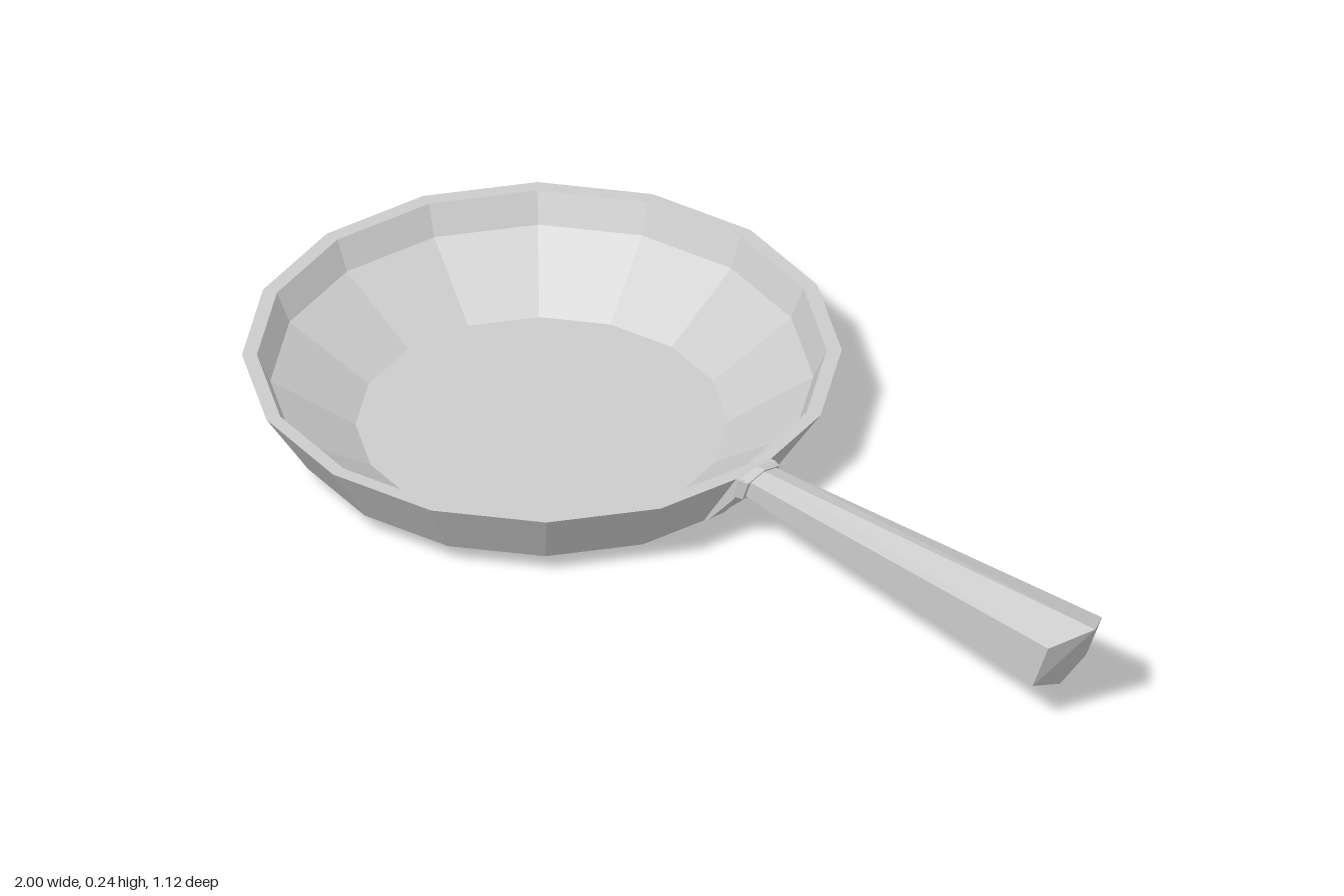
import * as THREE from 'three';

const material = new THREE.MeshStandardMaterial({ color: 0xcccccc, flatShading: true });

// Six-sided ring: top, upper side, lower side and bottom points as [x, y], plus half width
function hexRing([top, upper, lower, bottom], w) {
  return [[...top, 0], [...upper, w], [...lower, w], [...bottom, 0], [...lower, -w], [...upper, -w]];
}

// Skin a run of rings along +x and close both ends with a centre crease
function loft(rings) {
  const pos = [];
  const quad = (a, b, c, d) => pos.push(...a, ...b, ...c, ...a, ...c, ...d);
  for (let k = 0; k < rings.length - 1; k++) {
    const a = rings[k], b = rings[k + 1];
    for (let i = 0; i < 6; i++) {
      const j = (i + 1) % 6;
      quad(a[i], a[j], b[j], b[i]);
    }
  }
  const s = rings[0], e = rings[rings.length - 1];
  quad(e[0], e[1], e[2], e[3]);
  quad(e[0], e[3], e[4], e[5]);
  quad(s[3], s[2], s[1], s[0]);
  quad(s[5], s[4], s[3], s[0]);
  const geometry = new THREE.BufferGeometry();
  geometry.setAttribute('position', new THREE.Float32BufferAttribute(pos, 3));
  geometry.computeVertexNormals();
  return geometry;
}

export function createModel() {
  const group = new THREE.Group();
  const add = (name, geometry) => {
    const mesh = new THREE.Mesh(geometry, material);
    mesh.name = name;
    group.add(mesh);
    return mesh;
  };

  // Pan body: outer wall, flat rim, inner wall and cooking floor
  const profile = [
    [0, 0], [0.352, 0], [0.475, 0.045], [0.56, 0.18],
    [0.532, 0.18], [0.507, 0.12], [0.348, 0.02], [0, 0.02],
  ].map(([r, y]) => new THREE.Vector2(r, y));
  add('panBody', new THREE.LatheGeometry(profile, 16)).position.x = -0.44;

  // Bracket hugging the outer wall below the handle
  const strap = new THREE.Shape([
    [0.02, 0.048], [0.036, 0.05], [0.105, 0.132], [0.126, 0.182], [0.1, 0.18],
  ].map(([x, y]) => new THREE.Vector2(x, y)));
  const strapGeometry = new THREE.ExtrudeGeometry(strap, { depth: 0.092, bevelEnabled: false });
  strapGeometry.translate(0, 0, -0.046);
  add('handleBracket', strapGeometry);

  // Slanted collar between bracket and handle
  const collar = [[0.12, 0.191], [0.118, 0.18], [0.103, 0.138], [0.1, 0.127]];
  const shifted = collar.map(([x, y]) => [x + 0.02, y]);
  add('handleCollar', loft([hexRing(collar, 0.048), hexRing(shifted, 0.042)]));

  // Handle flaring towards a slanted, pointed end
  add('handle', loft([
    hexRing([[0.13, 0.187], [0.128, 0.178], [0.117, 0.142], [0.115, 0.132]], 0.034),
    hexRing([[1, 0.243], [0.948, 0.21], [0.907, 0.106], [0.908, 0.076]], 0.072),
  ]));

  return group;
}
